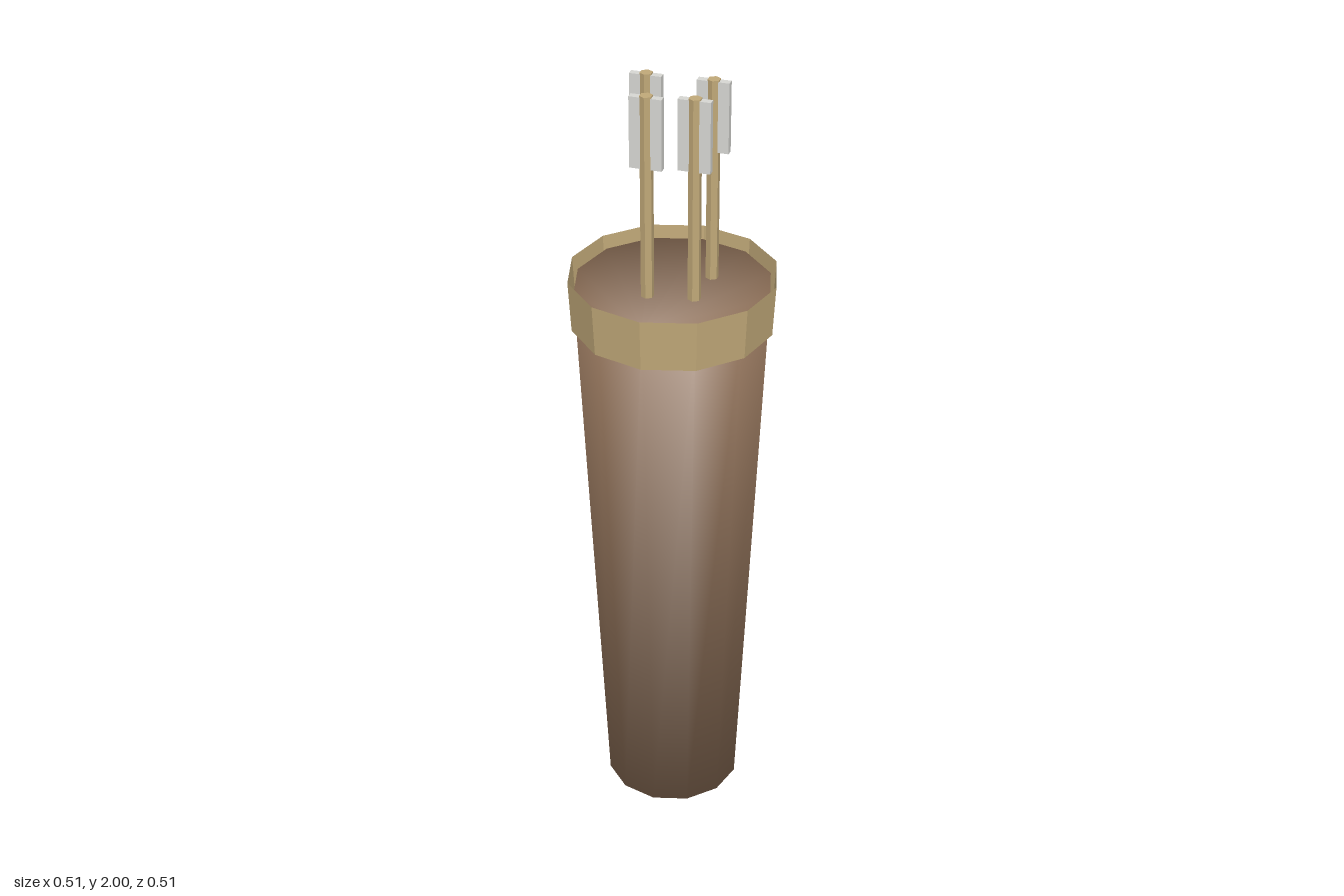
import * as THREE from 'three';

const leather = new THREE.MeshStandardMaterial({ name: 'brown leather', color: 0x8e7058 });
const tan = new THREE.MeshStandardMaterial({ name: 'tan band', color: 0xc0a878, flatShading: true, side: THREE.DoubleSide });
const wood = new THREE.MeshStandardMaterial({ name: 'arrow wood', color: 0xc0a878, flatShading: true });
const feather = new THREE.MeshStandardMaterial({ name: 'pale feather', color: 0xd6d6d2 });

const SIDES = 12;

// Closed tapered tube whose normals roll smoothly from the wall onto the end caps
function softTube(rBottom, rTop, height) {
  const positions = [], normals = [], index = [];
  const s = Math.SQRT1_2;
  for (let i = 0; i < SIDES; i++) {
    const a = (i / SIDES) * Math.PI * 2;
    const x = Math.sin(a), z = Math.cos(a);
    positions.push(x * rBottom, 0, z * rBottom, x * rTop, height, z * rTop);
    normals.push(x * s, -s, z * s, x * s, s, z * s);
    const b = 2 * i, next = 2 * ((i + 1) % SIDES);
    index.push(b, next, next + 1, b, next + 1, b + 1);
    // end caps as fans from the first corner
    if (i > 0 && i < SIDES - 1) index.push(1, b + 1, next + 1, 0, next, b);
  }
  const g = new THREE.BufferGeometry();
  g.setAttribute('position', new THREE.Float32BufferAttribute(positions, 3));
  g.setAttribute('normal', new THREE.Float32BufferAttribute(normals, 3));
  g.setIndex(index);
  return g;
}

function part(name, geometry, material, y = 0) {
  const mesh = new THREE.Mesh(geometry, material);
  mesh.name = name;
  mesh.position.y = y;
  return mesh;
}

export function createModel() {
  const model = new THREE.Group();
  model.name = 'quiver';

  // Tapered body
  model.add(part('quiverBody', softTube(0.176, 0.242, 1.49), leather));

  // Open band around the mouth
  model.add(part('mouthBand', new THREE.CylinderGeometry(0.256, 0.249, 0.13, SIDES, 1, true), tan, 1.455));

  // Arrows: hexagonal shaft with a flat fletching through it
  const shaft = new THREE.CylinderGeometry(0.016, 0.016, 0.56, 6);
  const vane = new THREE.BoxGeometry(0.078, 0.175, 0.018);
  for (const [x, z] of [[-0.08, -0.049], [0.08, -0.059], [-0.039, 0.077], [0.071, 0.058]]) {
    const arrow = new THREE.Group();
    arrow.name = 'arrow';
    arrow.position.set(x, 0, z);
    arrow.add(part('shaft', shaft, wood, 1.72), part('fletching', vane, feather, 1.909));
    model.add(arrow);
  }
  return model;
}
